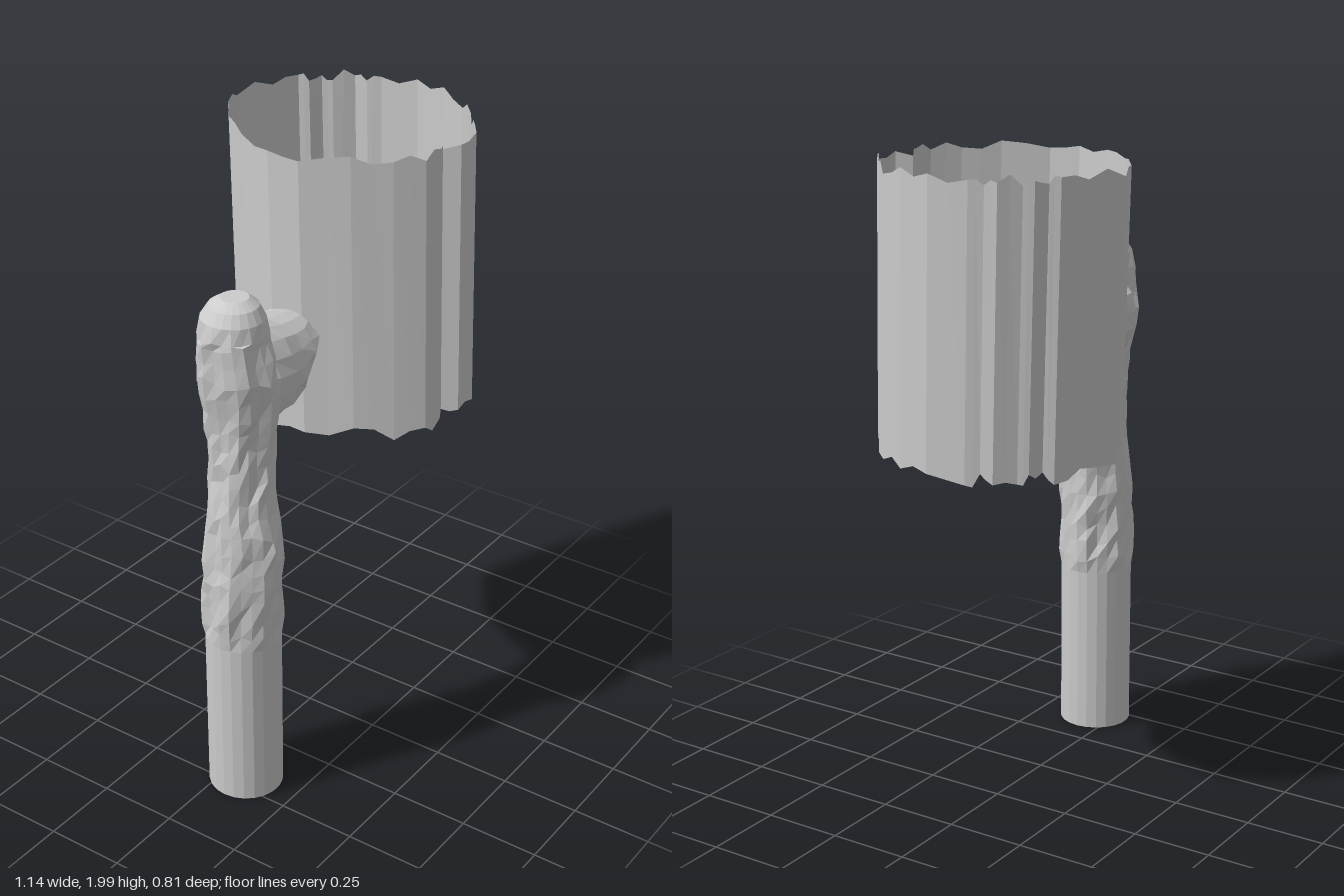
import * as THREE from 'three';

const grey = new THREE.MeshStandardMaterial({ color: 0xcccccc, flatShading: true });
const thin = new THREE.MeshStandardMaterial({ color: 0xcccccc, flatShading: true, side: THREE.DoubleSide });
const purple = new THREE.MeshStandardMaterial({ color: 0xaa22cc });

// repeatable noise in -1..1
const noise = (a, b = 0) => {
  const s = Math.sin(a * 127.1 + b * 311.7) * 43758.5453;
  return (s - Math.floor(s)) * 2 - 1;
};

function buildGeometry(points, index) {
  const g = new THREE.BufferGeometry();
  g.setAttribute('position', new THREE.Float32BufferAttribute(points.flat(), 3));
  g.setIndex(index);
  g.computeVertexNormals();
  return g;
}

// skin closed rings of equal size, closing both ends with a fan
function loft(rings) {
  const n = rings[0].length, points = rings.flat(), index = [];
  for (let i = 0; i < rings.length - 1; i++)
    for (let j = 0; j < n; j++) {
      const a = i * n + j, b = i * n + (j + 1) % n;
      index.push(a, a + n, b, b, a + n, b + n);
    }
  for (const [r, last] of [[0, false], [rings.length - 1, true]]) {
    const c = points.length, ring = rings[r];
    points.push([0, 1, 2].map(k => ring.reduce((s, p) => s + p[k], 0) / n));
    for (let j = 0; j < n; j++) {
      const a = r * n + j, b = r * n + (j + 1) % n;
      index.push(...(last ? [a, c, b] : [a, b, c]));
    }
  }
  return buildGeometry(points, index);
}

// linear interpolation in a table whose first column is the key
function sample(table, key) {
  let i = 0;
  while (i < table.length - 2 && table[i + 1][0] < key) i++;
  const [a, b] = [table[i], table[i + 1]];
  const t = (key - a[0]) / (b[0] - a[0]);
  return a.map((v, k) => v + (b[k] - v) * t);
}

function part(name, geometry, material) {
  const m = new THREE.Mesh(geometry, material);
  m.name = name;
  return m;
}

// smooth post that turns gnarled above y = 0.55 and ends in a rounded knob
function trunk() {
  const profile = [ // y, centre x, centre z, radius x, radius z
    [0, -0.445, 0.068, 0.115, 0.117], [0.6, -0.445, 0.068, 0.115, 0.117],
    [0.8, -0.447, 0.073, 0.114, 0.117], [0.9, -0.445, 0.077, 0.108, 0.118],
    [1.0, -0.445, 0.07, 0.102, 0.1], [1.1, -0.435, 0.065, 0.097, 0.097],
    [1.2, -0.43, 0.06, 0.1, 0.1], [1.3, -0.425, 0.06, 0.107, 0.11],
    [1.4, -0.435, 0.06, 0.112, 0.13], [1.48, -0.445, 0.06, 0.108, 0.12],
    [1.56, -0.45, 0.055, 0.1, 0.105], [1.61, -0.45, 0.055, 0.092, 0.095],
    [1.645, -0.445, 0.055, 0.072, 0.074], [1.665, -0.44, 0.055, 0.042, 0.042]];
  const levels = [0, 0.55];
  for (let y = 0.6; y < 1.56; y += 0.056) levels.push(y);
  levels.push(1.56, 1.61, 1.645, 1.665);
  const n = 22;
  return loft(levels.map((y, i) => {
    const [, cx, cz, rx, rz] = sample(profile, y);
    const rough = y > 0.56 && y < 1.6 ? 1 : 0;
    return Array.from({ length: n }, (_, j) => {
      const a = j / n * Math.PI * 2;
      const k = 1 + rough * (0.06 * noise(i, j) + 0.05 * Math.sin(j * 1.7 + y * 4));
      const dy = rough * 0.014 * noise(j, i + 50);
      return [cx + rx * k * Math.cos(a), y + dy, cz + rz * k * Math.sin(a)];
    });
  }));
}

// stubby limb flattening towards the shade
function limb() {
  const sections = [ // x, y low, y high, z low, z high
    [-0.47, 1.28, 1.56, -0.03, 0.15], [-0.41, 1.24, 1.57, -0.09, 0.19],
    [-0.34, 1.25, 1.555, -0.09, 0.2], [-0.28, 1.285, 1.535, -0.095, 0.195],
    [-0.22, 1.33, 1.52, -0.085, 0.18], [-0.17, 1.385, 1.51, -0.06, 0.15],
    [-0.14, 1.45, 1.5, -0.015, 0.09]];
  const n = 18;
  return loft(sections.map(([x, y0, y1, z0, z1], i) =>
    Array.from({ length: n }, (_, j) => {
      const a = j / n * Math.PI * 2, k = 1 + 0.05 * noise(j, i + 9);
      return [x + 0.008 * noise(i, j + 7),
        (y0 + y1) / 2 + (y1 - y0) / 2 * k * Math.cos(a),
        (z0 + z1) / 2 - (z1 - z0) / 2 * k * Math.sin(a)];
    })));
}

// open, slightly leaning sleeve with rippled walls and ragged rims
function shade() {
  const outline = [
    [0.19, -0.405], [0.1, -0.37], [0, -0.29], [-0.1, -0.17], [-0.153, -0.04], [-0.145, 0.06],
    [-0.075, 0.19], [0, 0.285], [0.07, 0.35], [0.15, 0.35], [0.18, 0.335], [0.21, 0.378],
    [0.33, 0.355], [0.36, 0.325], [0.43, 0.275], [0.5, 0.205], [0.545, 0.11], [0.57, 0],
    [0.55, -0.12], [0.53, -0.16], [0.525, -0.2], [0.475, -0.25], [0.46, -0.28], [0.42, -0.3],
    [0.405, -0.33], [0.32, -0.365]];
  const points = [], index = [], steps = 2, n = outline.length * steps;
  outline.forEach(([x, z], i) => {
    const [nx, nz] = outline[(i + 1) % outline.length];
    for (let s = 0; s < steps; s++) {
      const t = s / steps, k = i * steps + s;
      const px = x + (nx - x) * t, pz = z + (nz - z) * t;
      points.push([px - 0.013, 1.118 + 0.022 * noise(k, 3), pz + 0.031]);
      points.push([px, 1.978 + 0.017 * noise(k, 8), pz]);
    }
  });
  for (let k = 0; k < n; k++) {
    const a = 2 * k, b = 2 * ((k + 1) % n);
    index.push(a, b, a + 1, b, b + 1, a + 1);
  }
  return buildGeometry(points, index);
}

// small bent block inside the shade
function bentBlock() {
  const g = new THREE.BoxGeometry(0.088, 0.05, 0.14, 1, 1, 4);
  const p = g.attributes.position;
  for (let i = 0; i < p.count; i++)
    p.setX(i, p.getX(i) + 0.012 * (1 - (p.getZ(i) / 0.07) ** 2));
  g.computeVertexNormals();
  return g;
}

export function createModel() {
  const model = new THREE.Group();
  model.name = 'postWithShade';
  model.add(part('trunk', trunk(), grey), part('limb', limb(), grey), part('shade', shade(), thin));

  const block = part('innerBlock', bentBlock(), grey);
  block.position.set(0.398, 1.16, -0.085);
  block.rotation.y = 0.3;
  const chip = part('innerChip', new THREE.BoxGeometry(0.032, 0.012, 0.012), grey);
  chip.position.set(0.33, 1.15, 0.018);
  chip.rotation.y = 0.15;
  model.add(block, chip);

  // thin rod reaching inwards from the shade wall
  const path = new THREE.LineCurve3(new THREE.Vector3(-0.14, 1.35, 0), new THREE.Vector3(0.025, 1.34, -0.03));
  const tip = part('rodTip', new THREE.SphereGeometry(0.006, 10, 8), purple);
  tip.position.copy(path.v2);
  model.add(part('rod', new THREE.TubeGeometry(path, 1, 0.004, 8), purple), tip);
  return model;
}
